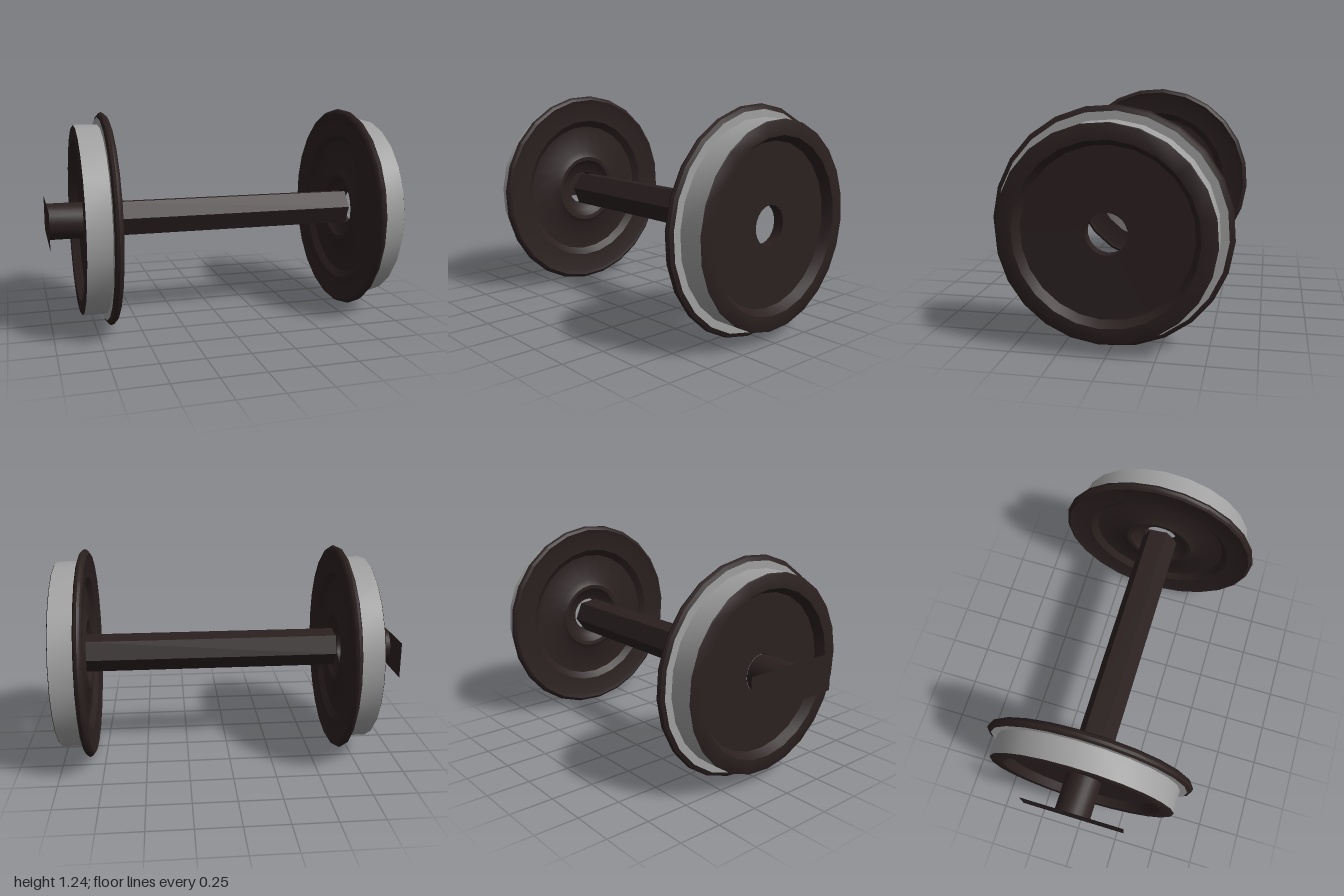
import * as THREE from 'three';
import { toCreasedNormals } from 'three/addons/utils/BufferGeometryUtils.js';

const AXIS_Y = 0.626;

const darkSteel = new THREE.MeshStandardMaterial({ color: 0x2b2020 });
darkSteel.name = 'darkSteel';
const polishedSteel = new THREE.MeshStandardMaterial({ color: 0xa0a0a0 });
polishedSteel.name = 'polishedSteel';
const darkPlate = new THREE.MeshStandardMaterial({ color: 0x2b2020, side: THREE.DoubleSide });
darkPlate.name = 'darkPlate';

// Profiles as [radius, distance outward from the flange's inner side]
const innerProfile = [
  [0.108, 0.075], [0.155, 0.06], [0.19, 0.025], [0.215, 0.022], [0.255, 0.045], [0.42, 0.045],
  [0.46, 0.014], [0.575, 0.008], [0.6, 0], [0.616, 0.01], [0.623, 0.025], [0.616, 0.04], [0.595, 0.05],
];
const treadProfile = [[0.595, 0.05], [0.553, 0.05], [0.553, 0.186]];
const outerProfile = [
  [0.553, 0.186], [0.547, 0.19], [0.47, 0.19], [0.44, 0.14], [0.108, 0.135], [0.108, 0.075],
];

// Turned ring whose axis runs along +x
function turned(name, profile, material) {
  const points = profile.map(([r, s]) => new THREE.Vector2(r, s));
  const geometry = new THREE.LatheGeometry(points, 24);
  geometry.rotateZ(-Math.PI / 2);
  const mesh = new THREE.Mesh(toCreasedNormals(geometry, 0.6), material);
  mesh.name = name;
  return mesh;
}

// Open tube along x from x0 to x1
function tube(name, radius, x0, x1, sides, phase) {
  const geometry = new THREE.CylinderGeometry(radius, radius, x1 - x0, sides, 1, true, phase);
  geometry.rotateZ(-Math.PI / 2);
  const mesh = new THREE.Mesh(toCreasedNormals(geometry, 0.6), darkSteel);
  mesh.name = name;
  mesh.position.set((x0 + x1) / 2, AXIS_Y, 0);
  return mesh;
}

// Both wheels share the same slight roll about the axle
function wheel(name, x, turn) {
  const group = new THREE.Group();
  group.name = name;
  group.add(
    turned('innerFaceAndFlange', innerProfile, darkSteel),
    turned('tread', treadProfile, polishedSteel),
    turned('outerFaceAndHub', outerProfile, darkSteel),
  );
  group.position.set(x, AXIS_Y, 0);
  group.rotation.set(-0.06, turn, 0);
  return group;
}

export function createModel() {
  const model = new THREE.Group();
  model.name = 'wheelset';

  // Two wheels with their flanges facing each other
  model.add(wheel('leftWheel', 0.807, 0), wheel('rightWheel', -0.643, Math.PI));

  // Six-sided axle and the round journal beyond the right wheel
  model.add(tube('axle', 0.113, -0.665, 0.86, 6, -0.12));
  model.add(tube('journal', 0.106, -1, -0.778, 24, 0));

  // Flat plate across the journal's end
  const plate = new THREE.Mesh(new THREE.PlaneGeometry(0.61, 0.212), darkPlate);
  plate.name = 'journalEndPlate';
  plate.rotation.y = -Math.PI / 2;
  plate.position.set(-1, AXIS_Y, 0);
  model.add(plate);

  return model;
}
